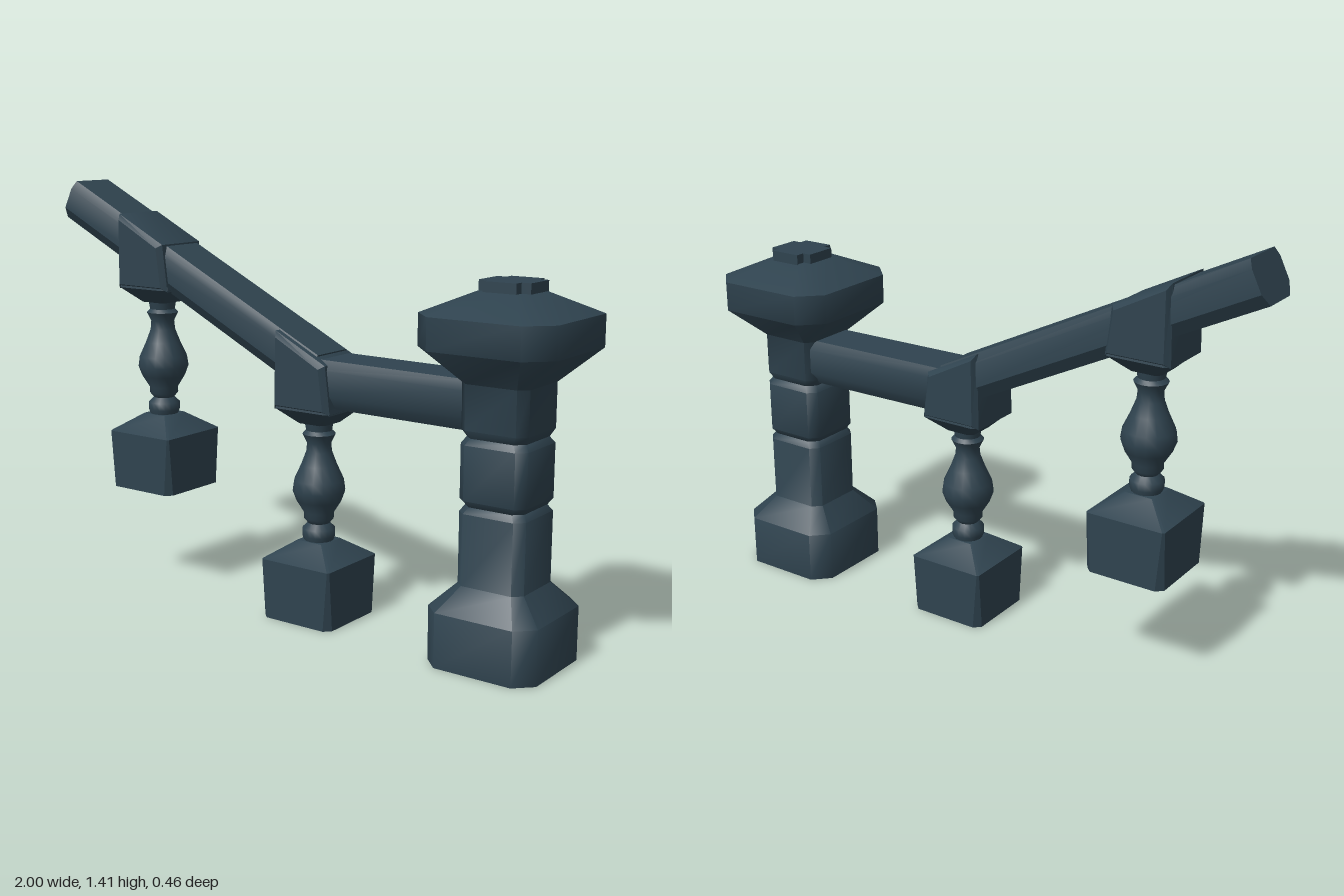
import * as THREE from 'three';
import { toCreasedNormals } from 'three/addons/utils/BufferGeometryUtils.js';

const CREASE = 0.9;
const iron = new THREE.MeshStandardMaterial({ color: 0x2f434f });
iron.name = 'dark slate';

function part(name, geometry, crease = CREASE) {
  const flat = geometry.index ? geometry.toNonIndexed() : geometry;
  const mesh = new THREE.Mesh(toCreasedNormals(flat, crease), iron);
  mesh.name = name;
  return mesh;
}

// Closed loft through chamfered rectangles: [y, half x, half z, chamfer]
function loft(levels) {
  const pos = [], idx = [];
  for (const [y, a, b, c] of levels) {
    const ring = [[a, -b + c], [a, b - c], [a - c, b], [c - a, b],
      [-a, b - c], [-a, c - b], [c - a, -b], [a - c, -b]];
    for (const [x, z] of ring) pos.push(x, y, z);
  }
  const last = (levels.length - 1) * 8;
  for (let i = 0; i < last; i += 8) {
    for (let j = 0; j < 8; j++) {
      const k = (j + 1) % 8;
      idx.push(i + j, i + 8 + j, i + k, i + k, i + 8 + j, i + 8 + k);
    }
  }
  for (let j = 1; j < 7; j++) {
    idx.push(0, j, j + 1, last, last + j + 1, last + j);
  }
  const g = new THREE.BufferGeometry();
  g.setAttribute('position', new THREE.Float32BufferAttribute(pos, 3));
  g.setIndex(idx);
  return g;
}

const shapeOf = (pts) => new THREE.Shape(pts.map(([x, y]) => new THREE.Vector2(x, y)));

// Handrail length between two points in the x-y plane
function rail(name, x0, y0, x1, y1, h) {
  const section = shapeOf([[-0.065, -h], [0.065, -h], [0.093, -h * 0.45], [0.093, h * 0.6],
    [0.078, h], [-0.078, h], [-0.093, h * 0.6], [-0.093, -h * 0.45]]);
  const g = new THREE.ExtrudeGeometry(section, {
    depth: Math.hypot(x1 - x0, y1 - y0), bevelEnabled: false });
  g.rotateY(Math.PI / 2);
  g.rotateZ(Math.atan2(y1 - y0, x1 - x0));
  g.translate(x0, y0, -0.006);
  return part(name, g, 0.6);
}

function baluster(x, y) {
  const group = new THREE.Group();
  group.name = 'baluster';

  // Square foot with a pyramid top
  group.add(part('balusterFoot', loft([
    [0, 0.137, 0.137, 0.022], [0.2, 0.137, 0.137, 0.006], [0.26, 0.052, 0.052, 0.006]]), 0.5));

  // Turned spindle
  const profile = [[0.045, 0.25], [0.055, 0.275], [0.055, 0.3], [0.036, 0.318], [0.05, 0.335],
    [0.05, 0.355], [0.075, 0.395], [0.088, 0.43], [0.083, 0.465], [0.06, 0.515], [0.043, 0.56],
    [0.04, 0.59], [0.055, 0.62], [0.043, 0.632], [0.05, 0.67]];
  group.add(part('spindle', new THREE.LatheGeometry(
    profile.map(([r, h]) => new THREE.Vector2(r, h)), 16)));

  // Sloped bracket that wraps the rail
  const bracket = new THREE.ExtrudeGeometry(
    shapeOf([[-0.112, 0.705], [0.11, 0.705], [0.09, 0.865], [-0.105, 0.962]]),
    { depth: 0.19, bevelSize: 0.016, bevelThickness: 0.018, bevelOffset: -0.016, bevelSegments: 1 });
  bracket.translate(0, 0, -0.095);
  group.add(part('railBracket', bracket, 0.6));
  group.add(part('bracketNeck', loft([
    [0.658, 0.055, 0.055, 0.015], [0.71, 0.11, 0.11, 0.015], [0.74, 0.105, 0.105, 0.015]]), 0.6));

  group.position.set(x, y, 0);
  return group;
}

export function createModel() {
  const model = new THREE.Group();
  model.name = 'stairRailing';

  // Newel post: base, notched shaft and flared head
  const newel = new THREE.Group();
  newel.name = 'newelPost';
  newel.position.x = 0.772;
  const square = (y, h, c) => [y, h, h, c];
  newel.add(part('newelBody', loft([
    square(0, 0.187, 0.055), square(0.175, 0.187, 0.055), square(0.25, 0.113, 0.028),
    square(0.475, 0.113, 0.028), square(0.495, 0.1, 0.028), square(0.515, 0.113, 0.028),
    square(0.685, 0.113, 0.028), square(0.705, 0.1, 0.028), square(0.73, 0.113, 0.028),
    square(0.87, 0.113, 0.028), square(0.975, 0.228, 0.075), square(1.075, 0.228, 0.075),
    square(1.14, 0.085, 0.03)])));

  // Cross-shaped finial on top
  const a = 0.086, b = 0.055;
  const cross = new THREE.ExtrudeGeometry(
    shapeOf([[a, -b], [a, b], [b, b], [b, a], [-b, a], [-b, b], [-a, b], [-a, -b],
      [-b, -b], [-b, -a], [b, -a], [b, -b]]), { depth: 0.045, bevelEnabled: false });
  cross.rotateX(-Math.PI / 2);
  cross.translate(0, 1.127, -0.006);
  newel.add(part('newelFinial', cross, 0.5));
  model.add(newel);

  // Balusters step up along the stair
  for (let i = 0; i < 2; i++) model.add(baluster(0.075 - 0.68 * i, 0.345 * i));

  // Handrail: sloping run and level run into the newel
  model.add(rail('slopedRail', -0.968, 1.347, 0.09, 0.828, 0.072));
  model.add(rail('levelRail', 0.08, 0.802, 0.72, 0.796, 0.079));

  return model;
}
